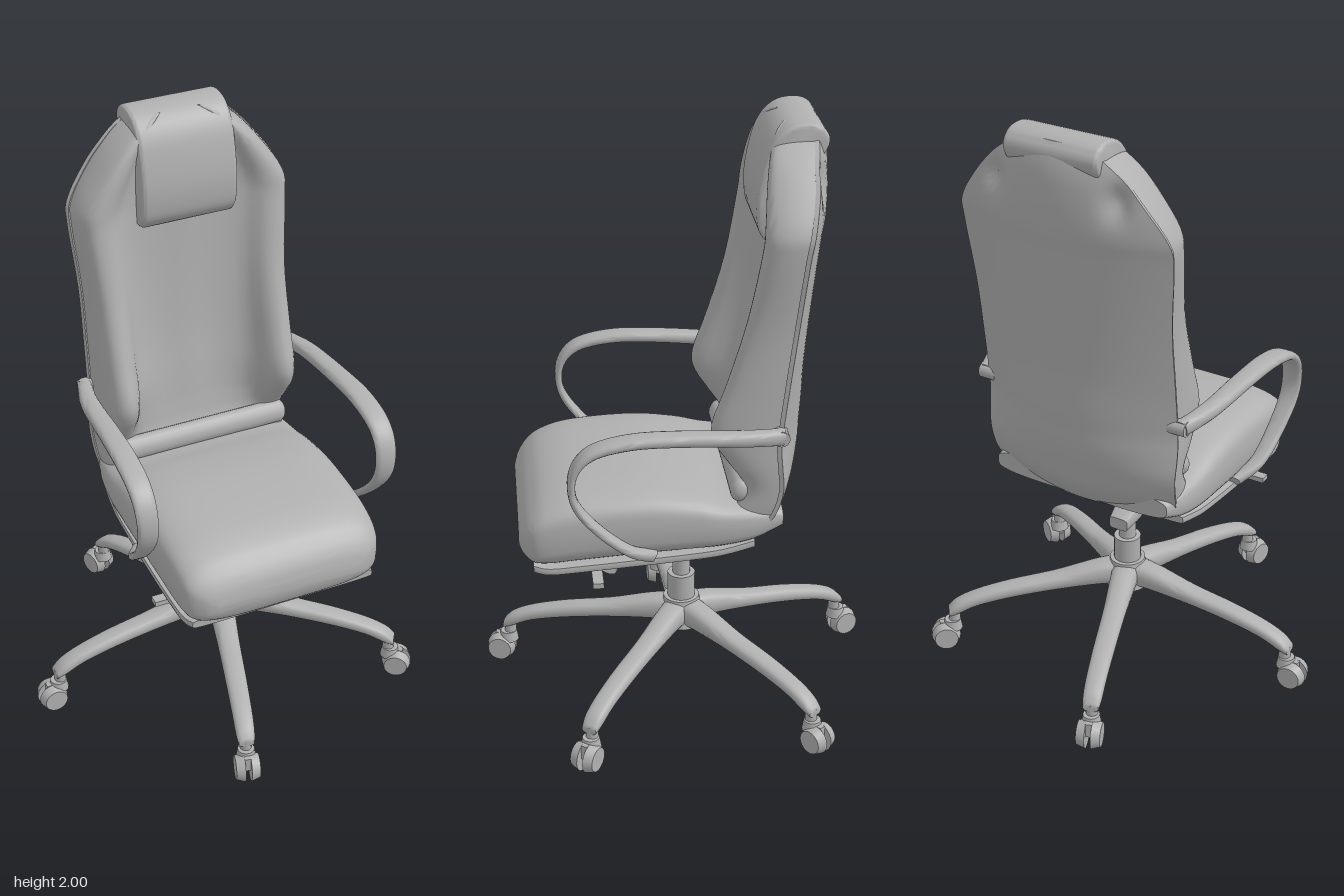
import * as THREE from 'three';
import { toCreasedNormals } from 'three/addons/utils/BufferGeometryUtils.js';

const grey = new THREE.MeshStandardMaterial({ color: 0xb0b0b0 });
grey.name = 'grey upholstery';

const V = (x, y, z) => new THREE.Vector3(x, y, z);
const lerp = THREE.MathUtils.lerp;

// Resample a table of rows smoothly into n+1 rows
function smoothRows(rows, n) {
  const out = [];
  for (let k = 0; k <= n; k++) {
    const f = (k / n) * (rows.length - 1);
    const i = Math.min(Math.floor(f), rows.length - 2), t = f - i;
    const p = [-1, 0, 1, 2].map(d => rows[Math.max(0, Math.min(rows.length - 1, i + d))]);
    out.push(p[0].map((_, c) => {
      const [a, b, d, e] = p.map(r => r[c]);
      return b + 0.5 * t * (d - a + t * (2 * a - 5 * b + 4 * d - e + t * (3 * (b - d) + e - a)));
    }));
  }
  return out;
}

// Closed skin through rings of equal point count, capped, always facing outward
function loft(rings, crease = 0.7) {
  const n = rings[0].length, pos = [], idx = [];
  rings.forEach(r => r.forEach(p => pos.push(p.x, p.y, p.z)));
  for (let i = 0; i < rings.length - 1; i++)
    for (let j = 0; j < n; j++) {
      const a = i * n + j, b = i * n + (j + 1) % n;
      idx.push(a, b, a + n, b, b + n, a + n);
    }
  [0, rings.length - 1].forEach((r, end) => {
    const c = rings[r].reduce((s, p) => s.add(p), V(0, 0, 0)).divideScalar(n);
    const ci = pos.length / 3;
    pos.push(c.x, c.y, c.z);
    for (let j = 0; j < n; j++) {
      const a = r * n + j, b = r * n + (j + 1) % n;
      end ? idx.push(a, b, ci) : idx.push(b, a, ci);
    }
  });
  const at = i => V(pos[3 * i], pos[3 * i + 1], pos[3 * i + 2]);
  let volume = 0;
  for (let i = 0; i < idx.length; i += 3)
    volume += at(idx[i]).dot(at(idx[i + 1]).cross(at(idx[i + 2])));
  if (volume < 0) idx.reverse();
  const g = new THREE.BufferGeometry();
  g.setAttribute('position', new THREE.Float32BufferAttribute(pos, 3));
  g.setIndex(idx);
  return toCreasedNormals(g, crease);
}

// Rounded-square unit outline; a small power gives squarer corners
function outline(n, power) {
  return Array.from({ length: n }, (_, i) => {
    const a = (i / n) * Math.PI * 2, f = v => Math.sign(v) * Math.abs(v) ** power;
    return [f(Math.cos(a)), f(Math.sin(a))];
  });
}

function add(parent, name, geometry, x = 0, y = 0, z = 0) {
  const m = new THREE.Mesh(geometry, grey);
  m.name = name;
  m.position.set(x, y, z);
  parent.add(m);
  return m;
}

// Backrest rows: y, half width, shell edge z, shell rear z, bolster z, middle z
const BACK = [
  [0.66, 0.27, -0.1, -0.15, 0, 0], [0.695, 0.31, -0.2, -0.265, -0.03, -0.03],
  [0.78, 0.335, -0.26, -0.335, -0.12, -0.12], [0.87, 0.345, -0.285, -0.36, -0.165, -0.18],
  [0.95, 0.35, -0.28, -0.375, -0.12, -0.2], [1.02, 0.35, -0.275, -0.38, -0.075, -0.21],
  [1.09, 0.35, -0.28, -0.385, -0.065, -0.22], [1.22, 0.35, -0.295, -0.39, -0.11, -0.24],
  [1.42, 0.352, -0.32, -0.408, -0.17, -0.26], [1.64, 0.37, -0.345, -0.432, -0.212, -0.275],
  [1.72, 0.362, -0.36, -0.442, -0.22, -0.28], [1.82, 0.295, -0.38, -0.445, -0.23, -0.285],
  [1.9, 0.225, -0.39, -0.44, -0.245, -0.29], [1.96, 0.145, -0.395, -0.425, -0.27, -0.3],
  [1.985, 0.09, -0.39, -0.41, -0.3, -0.32]];

function backShell() {
  return loft(smoothRows(BACK, 70).map(([y, h, zs, zb]) => {
    const rear = Array.from({ length: 33 }, (_, i) => {
      const u = i / 16 - 1, x = u * h;
      // shallow hand pocket near each top corner
      const d = Math.exp(-(((Math.abs(x) - 0.21) / 0.035) ** 2) - ((y - 1.83) / 0.05) ** 2);
      return V(x, y, lerp(zb, zs, Math.abs(u) ** 1.8) + 0.03 * d);
    });
    const inner = rear.map(p => V(p.x * 0.985, y, p.z + 0.014)).reverse();
    return [...rear, ...inner];
  }), 0.8);
}

function backCushion() {
  return loft(smoothRows(BACK, 56).map(([y, h, zs, , bol, mid]) => {
    const half = [[0.97, zs + 0.005], [0.975, lerp(zs, bol, 0.35)], [0.95, lerp(zs, bol, 0.7)],
      [0.89, lerp(zs, bol, 0.94)], [0.8, bol], [0.7, lerp(bol, mid, 0.15)],
      [0.56, lerp(bol, mid, 0.75)], [0.3, mid]];
    const right = half.map(([u, z]) => V(u * h, y, z));
    const left = half.map(([u, z]) => V(-u * h, y, z)).reverse();
    const front = new THREE.CatmullRomCurve3([...right, V(0, y, mid), ...left]);
    return front.getPoints(48);
  }), 0.9);
}

// Seat rows: z, half width, bottom y, top y
const SEAT = [
  [0.543, 0.25, 0.665, 0.725], [0.53, 0.29, 0.64, 0.765], [0.5, 0.33, 0.618, 0.805],
  [0.45, 0.345, 0.612, 0.842], [0.35, 0.352, 0.62, 0.87], [0.15, 0.355, 0.635, 0.88],
  [0, 0.353, 0.645, 0.862], [-0.1, 0.35, 0.655, 0.835], [-0.2, 0.34, 0.675, 0.82],
  [-0.29, 0.32, 0.72, 0.8]];

const seatCushion = () => loft(smoothRows(SEAT, 45).map(([z, h, b, t]) =>
  outline(48, 0.5).map(([u, v]) => V(u * h, (b + t) / 2 + v * (t - b) / 2, z))), 0.9);

const seatPan = () => loft(smoothRows(SEAT.slice(2, 9), 24).map(([z, h, b]) =>
  outline(24, 0.3).map(([u, v]) => V(u * h * 0.97, b + 0.006 + v * 0.016, z))));

// Armrest rows: x, y, z, half width, half thickness
const ARM = [
  [0.36, 1.07, -0.28, 0.024, 0.026], [0.392, 1.085, -0.15, 0.03, 0.023],
  [0.405, 1.1, 0.05, 0.035, 0.02], [0.412, 1.1, 0.2, 0.038, 0.018],
  [0.415, 1.07, 0.32, 0.038, 0.016], [0.415, 1.0, 0.375, 0.036, 0.013],
  [0.412, 0.9, 0.37, 0.034, 0.012], [0.402, 0.8, 0.3, 0.03, 0.013],
  [0.385, 0.71, 0.2, 0.026, 0.015], [0.34, 0.665, 0.12, 0.024, 0.02]];

function armrest(side) {
  const rows = smoothRows(ARM, 54);
  return loft(rows.map(([x, y, z, w, t], i) => {
    const a = rows[Math.max(0, i - 1)], b = rows[Math.min(rows.length - 1, i + 1)];
    const dir = V(0, b[1] - a[1], b[2] - a[2]).normalize();
    return outline(16, 0.7).map(([u, v]) =>
      V(side * (x + u * w), y + v * t * dir.z, z - v * t * dir.y));
  }), 0.9);
}

// Base leg rows along +x: radius, top y, bottom y, half width
const LEG = [
  [0, 0.315, 0.22, 0.05], [0.1, 0.305, 0.222, 0.044], [0.25, 0.268, 0.212, 0.038],
  [0.4, 0.243, 0.193, 0.036], [0.52, 0.214, 0.168, 0.034], [0.59, 0.185, 0.138, 0.032],
  [0.622, 0.155, 0.128, 0.026]];

function baseLeg() {
  const g = new THREE.Group();
  g.name = 'baseLeg';
  add(g, 'legBeam', loft(smoothRows(LEG, 24).map(([r, t, b, w]) =>
    outline(16, 0.75).map(([u, v]) => V(r, (t + b) / 2 + v * (t - b) / 2, u * w))), 0.9));
  add(g, 'casterStem', new THREE.CylinderGeometry(0.02, 0.02, 0.07, 14), 0.603, 0.115, 0);
  add(g, 'casterHood', new THREE.CylinderGeometry(0.028, 0.034, 0.035, 14), 0.61, 0.092, 0);
  add(g, 'casterBody', new THREE.BoxGeometry(0.055, 0.05, 0.022), 0.628, 0.075, 0);
  for (const s of [-1, 1]) {
    const wheel = new THREE.CylinderGeometry(s > 0 ? 0.04 : 0.05, s > 0 ? 0.05 : 0.04, 0.03, 20);
    add(g, 'casterWheel', wheel.rotateX(Math.PI / 2), 0.635, 0.05, s * 0.025);
  }
  return g;
}

// Headrest pillow: side profile swept across the width
function headrest() {
  const profile = [[-0.25, 1.64], [-0.228, 1.68], [-0.225, 1.78], [-0.255, 1.91], [-0.305, 1.972],
    [-0.37, 1.985], [-0.41, 1.965], [-0.41, 1.92], [-0.33, 1.8], [-0.3, 1.65]];
  const shape = new THREE.Shape(new THREE.SplineCurve(
    [...profile, profile[0]].map(([z, y]) => new THREE.Vector2(z, y))).getPoints(50));
  const g = new THREE.ExtrudeGeometry(shape, { depth: 0.295, bevelSize: 0.012,
    bevelThickness: 0.015, bevelSegments: 4 });
  g.translate(0, 0, -0.1475).rotateY(-Math.PI / 2);
  return toCreasedNormals(g, 0.9);
}

export function createModel() {
  const model = new THREE.Group();
  model.name = 'officeChair';
  const chair = new THREE.Group();
  chair.name = 'chair';
  chair.position.x = 0.045;
  model.add(chair);

  // Upholstery
  add(chair, 'backShell', backShell());
  add(chair, 'backCushion', backCushion());
  add(chair, 'headrest', headrest());
  add(chair, 'seatCushion', seatCushion());
  add(chair, 'seatPan', seatPan());
  const roll = new THREE.CapsuleGeometry(0.03, 0.58, 8, 16).rotateZ(Math.PI / 2).scale(1, 1.35, 1);
  add(chair, 'lumbarRoll', roll, 0, 0.86, -0.155).rotation.x = -0.3;

  // Armrests with their pivots on the backrest
  for (const s of [1, -1]) {
    add(chair, s > 0 ? 'leftArmrest' : 'rightArmrest', armrest(s));
    add(chair, 'armPivot', new THREE.CylinderGeometry(0.026, 0.026, 0.06, 16).rotateZ(Math.PI / 2),
      s * 0.35, 1.07, -0.27);
  }

  // Tilt mechanism
  const tilt = [[0.33, 0.618, 0.1, 0.02], [0.24, 0.588, 0.085, 0.026], [0, 0.5, 0.045, 0.03],
    [-0.06, 0.48, 0.035, 0.022]];
  add(chair, 'tiltArm', loft(tilt.map(([z, y, w, t]) =>
    outline(20, 0.4).map(([u, v]) => V(u * w, y + v * t, z)))));
  add(chair, 'mountPlate', new THREE.BoxGeometry(0.3, 0.035, 0.26), 0, 0.635, 0.2);
  add(chair, 'leverBar', new THREE.BoxGeometry(0.745, 0.018, 0.035), 0.005, 0.585, 0.3);
  const knob = add(chair, 'tensionKnob', new THREE.CylinderGeometry(0.034, 0.042, 0.13, 20),
    0, 0.495, 0.225);
  knob.rotation.x = -0.5;

  // Gas lift and star base
  add(chair, 'liftPiston', new THREE.CylinderGeometry(0.029, 0.029, 0.12, 20), 0, 0.43, 0);
  add(chair, 'liftSleeve', new THREE.CylinderGeometry(0.046, 0.046, 0.12, 24), 0, 0.345, 0);
  add(chair, 'baseHub', new THREE.CylinderGeometry(0.06, 0.075, 0.1, 24), 0, 0.268, 0);
  for (let i = 0; i < 5; i++) {
    const leg = baseLeg();
    leg.rotation.y = -THREE.MathUtils.degToRad(178 + 72 * i);
    chair.add(leg);
  }
  return model;
}
